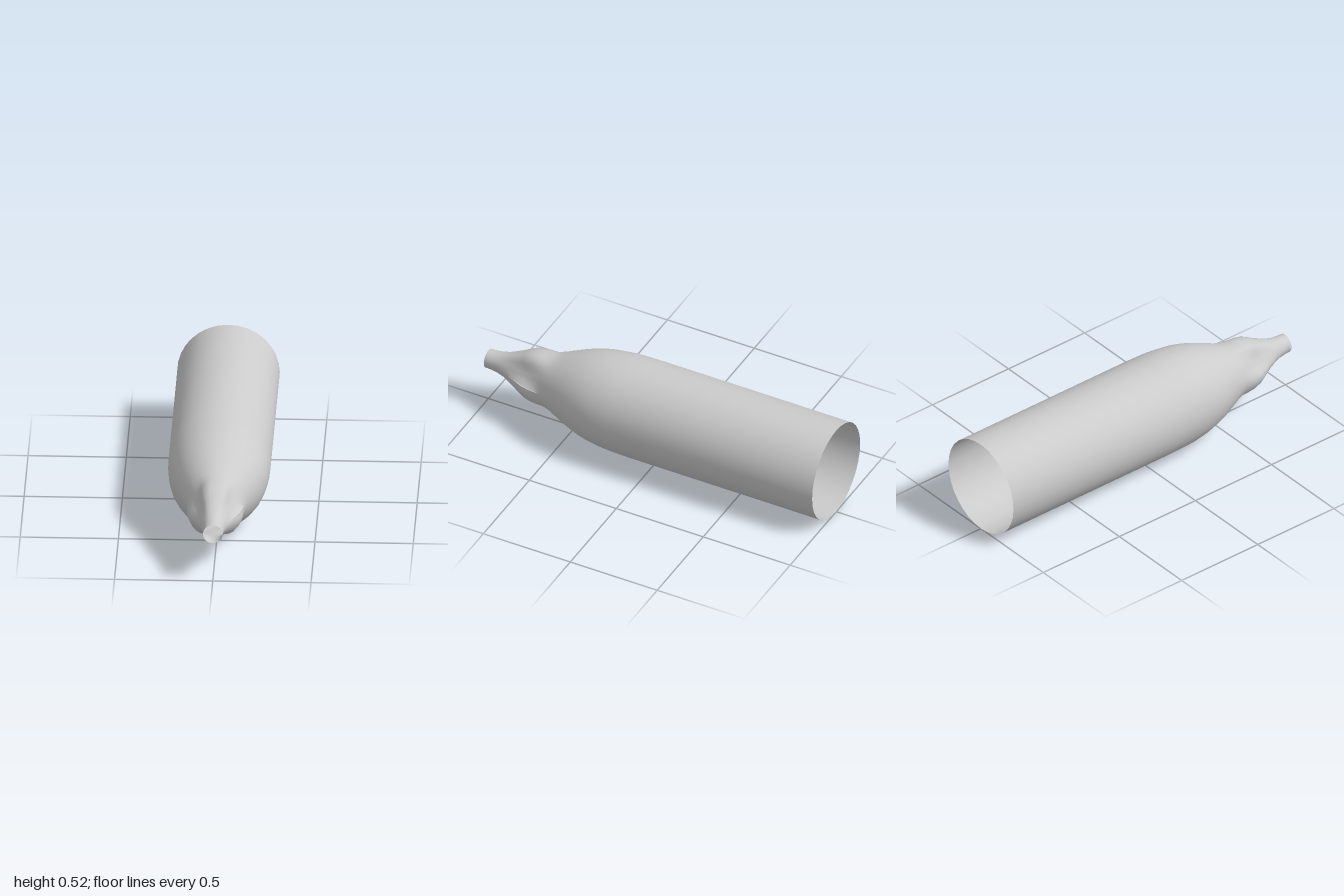
import * as THREE from 'three';

const SIDES = 32;
const CENTRE_Y = 0.261;

// z along the axis, radius in the valleys, radius on the three lobes
const PROFILE = [
  [-1, 0.261, 0.261], [0.1, 0.261, 0.261], [0.2, 0.259, 0.259], [0.25, 0.256, 0.256],
  [0.3, 0.25, 0.25], [0.35, 0.243, 0.243], [0.4, 0.231, 0.231], [0.45, 0.216, 0.216],
  [0.5, 0.197, 0.197], [0.55, 0.175, 0.176], [0.59, 0.157, 0.159], [0.63, 0.138, 0.148],
  [0.67, 0.122, 0.147], [0.71, 0.108, 0.144], [0.75, 0.097, 0.134], [0.78, 0.09, 0.119],
  [0.81, 0.083, 0.103], [0.85, 0.073, 0.084], [0.89, 0.064, 0.067], [0.93, 0.055, 0.056],
  [0.97, 0.051, 0.051], [1, 0.05, 0.05],
];

// Half-angle of the narrow slit on the model's left side
const slit = (z) => (z > 0.66 && z < 0.84 ? 0.022 * Math.sin(((z - 0.65) / 0.2) * Math.PI) : 0);

// Lobe weight around the axis: 1 on a lobe (top and two below), 0 in a valley
function lobe(a) {
  const c = 0.5 + 0.5 * Math.cos(3 * (a - Math.PI / 2));
  return THREE.MathUtils.smoothstep(c, 0.02, 0.75);
}

function shellGeometry() {
  const positions = [], indices = [], row = SIDES + 1;
  PROFILE.forEach(([z, valley, crest], i) => {
    for (let j = 0; j <= SIDES; j++) {
      let a = (j / SIDES) * Math.PI * 2;
      const r = THREE.MathUtils.lerp(valley, crest, lobe(a));
      if (j === 0) a += slit(z);
      if (j === SIDES) a -= slit(z);
      positions.push(r * Math.cos(a), r * Math.sin(a), z);
      if (i && j) {
        const d = i * row + j, c = d - 1, b = d - row, e = b - 1;
        indices.push(e, b, d, e, d, c);
      }
    }
  });
  const geometry = new THREE.BufferGeometry();
  geometry.setAttribute('position', new THREE.Float32BufferAttribute(positions, 3));
  geometry.setIndex(indices);
  geometry.computeVertexNormals();

  // Blend the normals across the closed seam
  const n = geometry.attributes.normal;
  const p = new THREE.Vector3(), q = new THREE.Vector3();
  PROFILE.forEach(([z], i) => {
    if (slit(z) > 0) return;
    const s = i * row, t = s + SIDES;
    p.fromBufferAttribute(n, s).add(q.fromBufferAttribute(n, t)).normalize();
    n.setXYZ(s, p.x, p.y, p.z);
    n.setXYZ(t, p.x, p.y, p.z);
  });
  return geometry;
}

export function createModel() {
  const group = new THREE.Group();
  group.name = 'openTube';
  // Thin one-piece shell: straight barrel, lobed taper and open nozzle
  const shell = new THREE.Mesh(
    shellGeometry(),
    new THREE.MeshStandardMaterial({ color: 0xcccccc, side: THREE.DoubleSide }),
  );
  shell.name = 'taperedShell';
  shell.position.y = CENTRE_Y;
  group.add(shell);
  return group;
}
